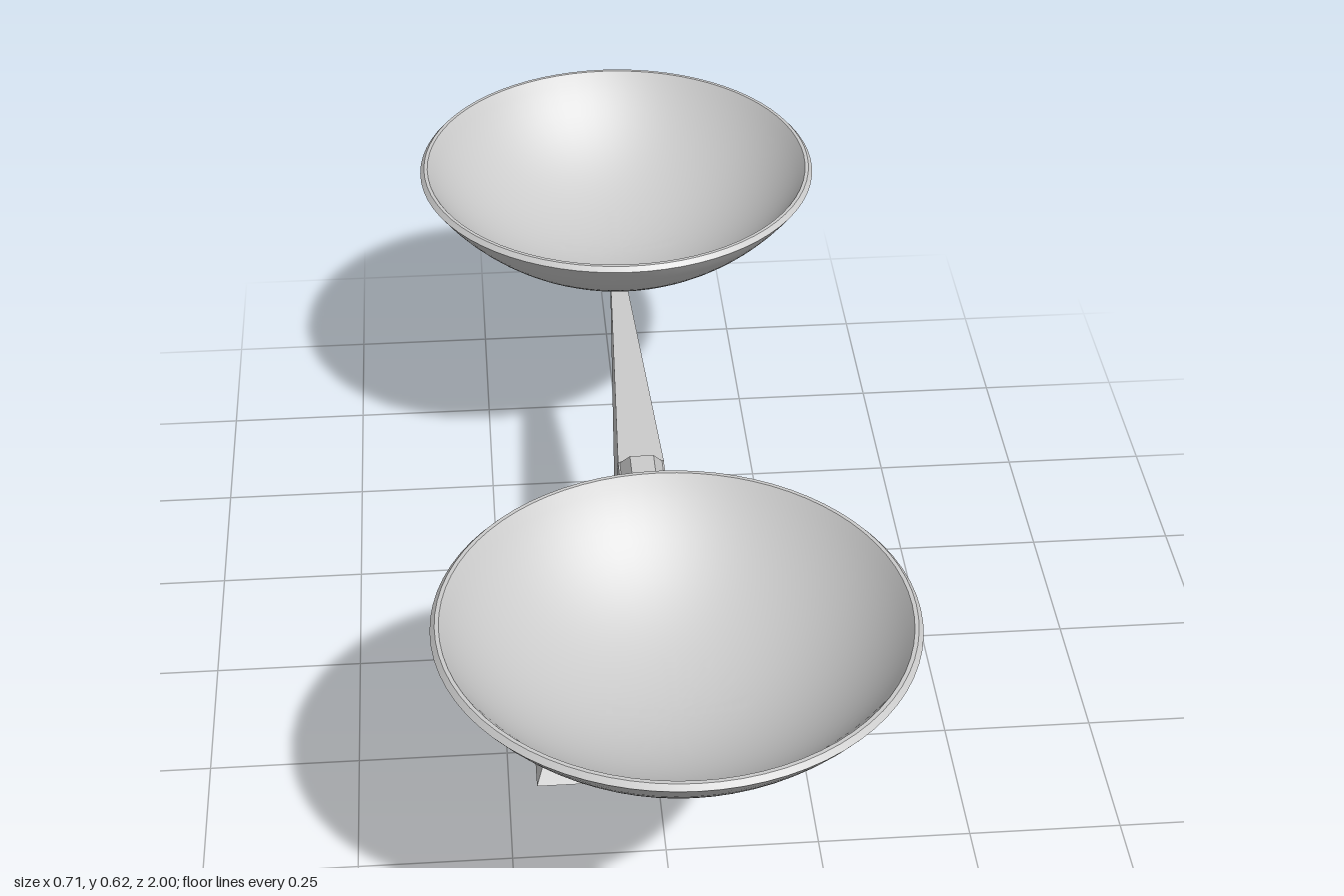
import * as THREE from 'three';
import { toCreasedNormals } from 'three/addons/utils/BufferGeometryUtils.js';

const flatGrey = new THREE.MeshStandardMaterial({ color: 0xcccccc, flatShading: true });
const smoothGrey = new THREE.MeshStandardMaterial({ color: 0xcccccc });

function addMesh(parent, name, geometry, material) {
  const mesh = new THREE.Mesh(geometry, material);
  mesh.name = name;
  parent.add(mesh);
  return mesh;
}

// Unit box whose corners (signs sx, sy, sz) are moved by a rule
function shapedBox(rule) {
  const geometry = new THREE.BoxGeometry(2, 2, 2);
  const p = geometry.attributes.position;
  for (let i = 0; i < p.count; i++) {
    p.setXYZ(i, ...rule(p.getX(i), p.getY(i), p.getZ(i)));
  }
  geometry.computeVertexNormals();
  return geometry;
}

// Four-sided frustum from half sizes [x, z] at the bottom and the top
function frustum(y0, y1, bottom, top) {
  return shapedBox((sx, sy, sz) => {
    const half = sy < 0 ? bottom : top;
    return [sx * half[0], sy < 0 ? y0 : y1, sz * half[1]];
  });
}

// Points of a spherical cap from its lowest point out to the rim
function capArc(yBottom, yRim, rim, steps) {
  const h = yRim - yBottom;
  const R = (rim * rim + h * h) / (2 * h);
  const end = Math.asin(rim / R);
  const points = [];
  for (let i = 0; i <= steps; i++) {
    const a = (end * i) / steps;
    points.push(new THREE.Vector2(R * Math.sin(a), yBottom + R * (1 - Math.cos(a))));
  }
  return points;
}

function panGeometry() {
  const outside = capArc(0.422, 0.61, 0.357, 20);
  const inside = capArc(0.43, 0.618, 0.344, 20).reverse();
  const profile = [...outside, new THREE.Vector2(0.35, 0.618), ...inside];
  return toCreasedNormals(new THREE.LatheGeometry(profile, 72), 0.5);
}

export function createModel() {
  const model = new THREE.Group();
  model.name = 'balanceScale';

  // Base, column and cap
  addMesh(model, 'base', frustum(0, 0.063, [0.203, 0.335], [0.177, 0.29]), flatGrey);
  addMesh(model, 'column', frustum(0.063, 0.383, [0.057, 0.075], [0.039, 0.05]), flatGrey);
  addMesh(model, 'columnCap', frustum(0.383, 0.41, [0.036, 0.045], [0.02, 0.026]), flatGrey);

  // Beam arm: deep and wide at the column, slim at the tip
  const arm = shapedBox((sx, sy, sz) => {
    if (sz > 0) return [sx * 0.012, sy > 0 ? 0.385 : 0.355, 0.66];
    return [sx * (sy > 0 ? 0.039 : 0.045), sy > 0 ? 0.384 : 0.271, 0.045];
  });
  const peg = frustum(0.38, 0.428, [0.011, 0.019], [0.006, 0.013]);
  const pan = panGeometry();

  // Two matching sides, front and back
  for (const [name, angle] of [['front', 0], ['back', Math.PI]]) {
    const side = new THREE.Group();
    side.name = name + 'Side';
    side.rotation.y = angle;
    addMesh(side, name + 'Arm', arm, flatGrey);
    addMesh(side, name + 'Peg', peg, flatGrey).position.z = 0.641;
    addMesh(side, name + 'Pan', pan, smoothGrey).position.z = 0.643;
    model.add(side);
  }
  return model;
}
